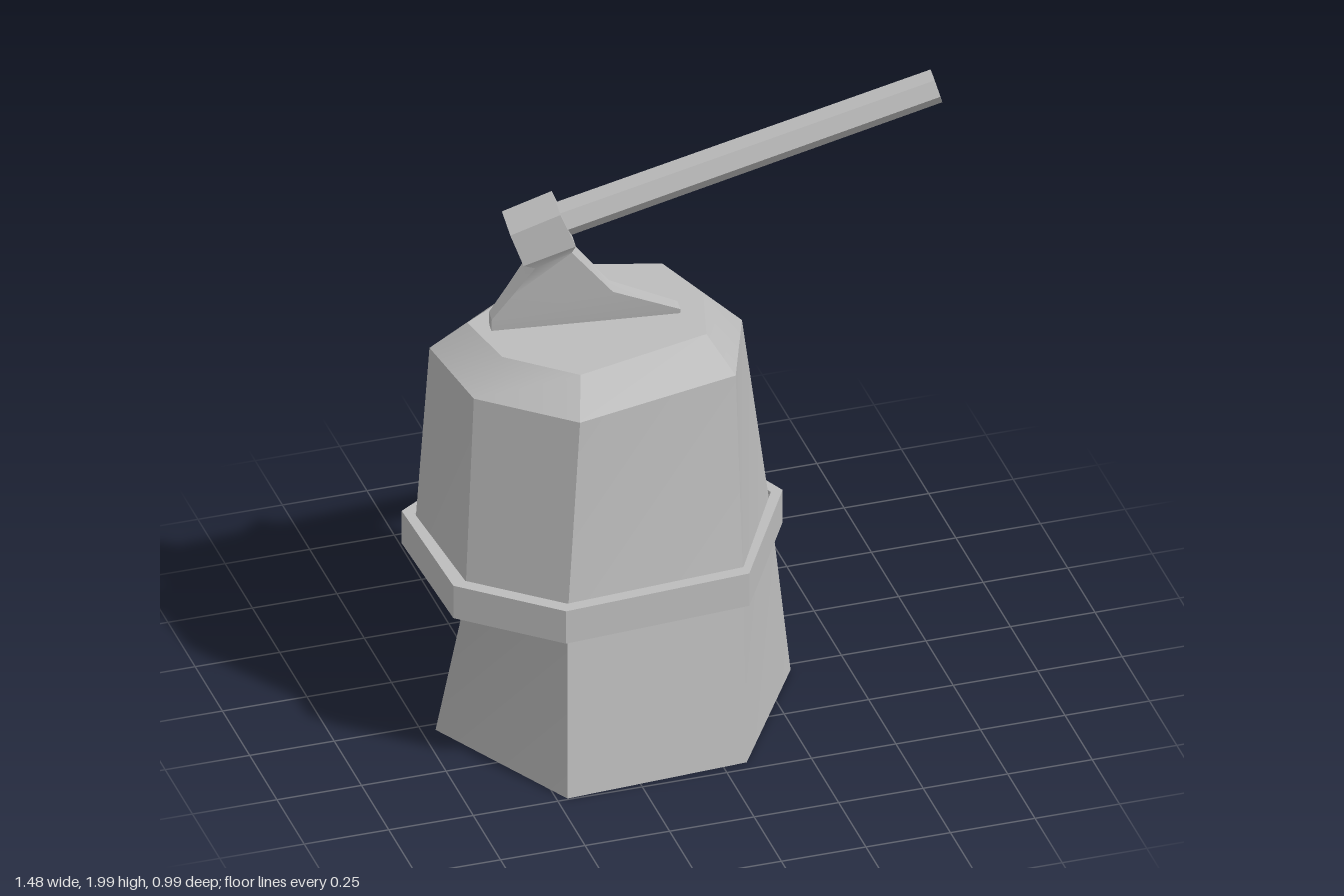
import * as THREE from 'three';
import { toCreasedNormals } from 'three/addons/utils/BufferGeometryUtils.js';

// Skin a stack of rings (lowest first, clockwise seen from above), with optional end caps.
// flip lists the columns whose quads are split along the other diagonal.
function loft(rings, { top = false, bottom = false, flip = [] } = {}) {
  const n = rings[0].length;
  const index = [];
  for (let r = 0; r < rings.length - 1; r++) {
    for (let i = 0; i < n; i++) {
      const j = (i + 1) % n;
      const a = r * n + i, b = r * n + j, c = a + n, d = b + n;
      if (flip.includes(i)) index.push(a, c, d, a, d, b);
      else index.push(a, c, b, c, d, b);
    }
  }
  const last = (rings.length - 1) * n;
  for (let i = 1; i < n - 1; i++) {
    if (top) index.push(last, last + i + 1, last + i);
    if (bottom) index.push(0, i, i + 1);
  }
  const g = new THREE.BufferGeometry();
  g.setAttribute('position', new THREE.Float32BufferAttribute(rings.flat(2), 3));
  g.setIndex(index);
  return toCreasedNormals(g, 0.5);
}

export function createModel() {
  const model = new THREE.Group();
  model.name = 'axeInChoppingBlock';
  const grey = new THREE.MeshStandardMaterial({ color: 0xbcbcbc, side: THREE.DoubleSide });
  grey.name = 'plain grey';

  const add = (name, geometry, parent = model) => {
    const mesh = new THREE.Mesh(geometry, grey);
    mesh.name = name;
    parent.add(mesh);
    return mesh;
  };
  const ring = (y, points) => points.map(([x, z]) => [x, y, z]);

  // Irregular seven-sided outlines, as x, z
  const foot = [[-0.08, -0.457], [0.14, -0.26], [0.34, 0.03], [0.07, 0.465], [-0.47, 0.495], [-0.71, 0.03], [-0.47, -0.375]];
  const waist = [[-0.263, -0.454], [0.115, -0.307], [0.275, 0.05], [0.078, 0.41], [-0.454, 0.445], [-0.69, 0.24], [-0.715, -0.147]];
  const shoulder = [[-0.267, -0.378], [0.05, -0.255], [0.193, 0.04], [0.085, 0.318], [-0.41, 0.425], [-0.655, 0.21], [-0.69, -0.088]];
  const crown = [[-0.255, -0.265], [0.028, -0.178], [0.088, 0.01], [0.03, 0.22], [-0.375, 0.32], [-0.555, 0.16], [-0.592, -0.045]];
  const hoop = [[-0.262, -0.492], [0.14, -0.338], [0.31, 0.05], [0.083, 0.448], [-0.47, 0.483], [-0.73, 0.255], [-0.745, -0.172]];

  // Chopping block, open underneath, with a twisted foot and bevelled top
  add('blockFoot', loft([ring(0, foot), ring(0.55, waist)], { flip: [0] }));
  add('blockBody', loft([ring(0.55, waist), ring(1.19, shoulder), ring(1.28, crown)], { top: true }));

  // Raised band around the block
  add('band', loft([ring(0.505, waist), ring(0.505, hoop), ring(0.612, hoop), ring(0.612, waist)]));

  // Axe, turned slightly about the vertical
  const axe = new THREE.Group();
  axe.name = 'axe';
  axe.position.set(-0.4, 0, 0.02);
  axe.rotation.y = -0.13;
  model.add(axe);

  // Head sections: heel x, y, toe x, y, half thickness
  const sections = [
    [-0.54, 1.26, 0, 1.26, 0.014],
    [-0.54, 1.32, 0, 1.295, 0.022],
    [-0.482, 1.4, -0.195, 1.38, 0.032],
    [-0.42, 1.49, -0.315, 1.53, 0.044],
    [-0.457, 1.515, -0.307, 1.563, 0.066],
    [-0.495, 1.62, -0.352, 1.672, 0.066],
  ].map(([x0, y0, x1, y1, t]) => [
    [x0 + 0.4, y0, -t], [x1 + 0.4, y1, -t], [x1 + 0.4, y1, t], [x0 + 0.4, y0, t],
  ]);
  add('axeHead', loft(sections, { top: true, bottom: true }), axe);

  // Six-sided handle running up from the eye of the head
  const from = new THREE.Vector3(-0.38, 1.605, 0.025);
  const to = new THREE.Vector3(0.722, 1.948, 0.183);
  const along = to.clone().sub(from);
  const handle = add('axeHandle', toCreasedNormals(new THREE.CylinderGeometry(0.05, 0.052, along.length(), 6), 0.5));
  handle.position.copy(from).add(to).multiplyScalar(0.5);
  handle.quaternion.setFromUnitVectors(new THREE.Vector3(0, 1, 0), along.normalize());

  return model;
}
